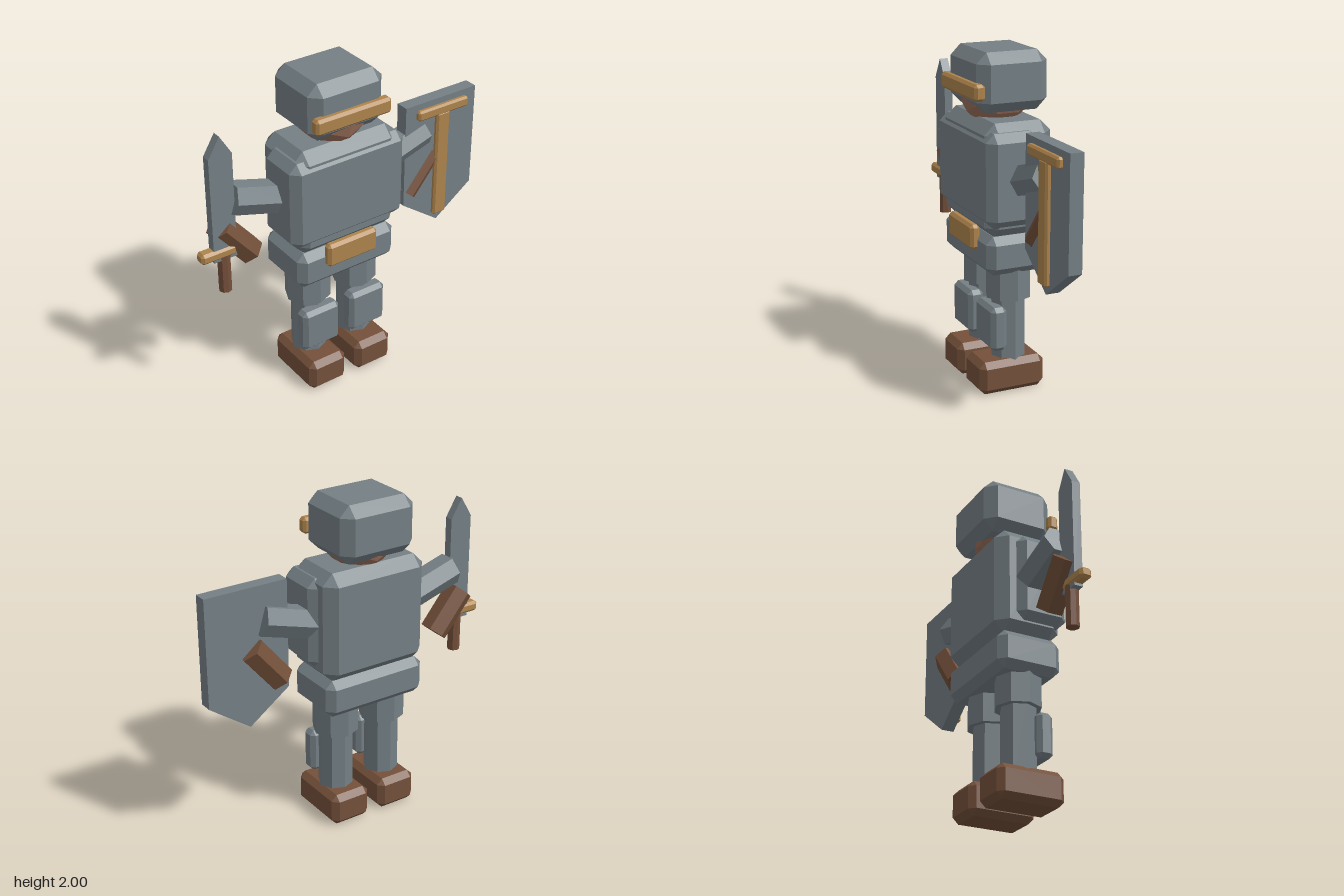
import * as THREE from 'three';
import { ConvexGeometry } from 'three/addons/geometries/ConvexGeometry.js';

const material = (name, color) => {
  const m = new THREE.MeshStandardMaterial({ color });
  m.name = name;
  return m;
};

export function createModel() {
  const steel = material('steel', 0x747f84);
  const leather = material('leather', 0x74503a);
  const gold = material('gold', 0xad834c);
  const skin = material('skin', 0x9a6f5a);
  const model = new THREE.Group();
  model.name = 'armouredFigure';

  // Adds a mesh with faceted normals
  function add(name, geometry, mat) {
    const flat = geometry.index ? geometry.toNonIndexed() : geometry;
    flat.computeVertexNormals();
    const mesh = new THREE.Mesh(flat, mat);
    mesh.name = name;
    model.add(mesh);
    return mesh;
  }

  // Box with every edge chamfered, given by its limits on each axis
  function chamferBox(name, [x0, x1], [y0, y1], [z0, z1], bevel, mat) {
    const h = [(x1 - x0) / 2, (y1 - y0) / 2, (z1 - z0) / 2];
    const points = [];
    for (const sx of [-1, 1]) for (const sy of [-1, 1]) for (const sz of [-1, 1]) {
      const s = [sx, sy, sz];
      for (let axis = 0; axis < 3; axis++) {
        points.push(new THREE.Vector3(...h.map((v, i) => s[i] * (i === axis ? v : v - bevel))));
      }
    }
    const mesh = add(name, new ConvexGeometry(points), mat);
    mesh.position.set((x0 + x1) / 2, (y0 + y1) / 2, (z0 + z1) / 2);
  }

  // Faceted rod between two points
  function rod(name, from, to, radius, sides, mat) {
    const a = new THREE.Vector3(...from), b = new THREE.Vector3(...to);
    const dir = b.clone().sub(a);
    const mesh = add(name, new THREE.CylinderGeometry(radius, radius, dir.length(), sides), mat);
    mesh.position.copy(a).add(b).multiplyScalar(0.5);
    mesh.rotation.z = Math.atan2(-dir.x, dir.y);
  }

  // Flat plate cut from an outline
  function plate(name, outline, z0, z1, mat) {
    const shape = new THREE.Shape(outline.map(([x, y]) => new THREE.Vector2(x, y)));
    const geometry = new THREE.ExtrudeGeometry(shape, { depth: z1 - z0, bevelEnabled: false });
    add(name, geometry, mat).position.z = z0;
  }

  // Head and helmet
  add('head', new THREE.IcosahedronGeometry(0.208, 1), skin).position.set(-0.067, 1.75, 0);
  chamferBox('helmet', [-0.31, 0.178], [1.66, 2], [-0.235, 0.198], 0.062, steel);
  chamferBox('helmetBand', [-0.315, 0.185], [1.74, 1.835], [0.17, 0.235], 0.016, gold);

  // Torso
  chamferBox('torso', [-0.405, 0.275], [0.96, 1.62], [-0.213, 0.195], 0.065, steel);
  chamferBox('chestPlate', [-0.45, 0.318], [1.03, 1.575], [-0.11, 0.21], 0.05, steel);
  chamferBox('hips', [-0.402, 0.267], [0.74, 0.97], [-0.203, 0.19], 0.045, steel);
  chamferBox('beltBuckle', [-0.237, 0.104], [0.865, 1.013], [0.17, 0.23], 0.018, gold);

  // Legs
  for (const [side, x] of [['right', -0.232], ['left', 0.1]]) {
    rod(side + 'Thigh', [x, 0.565, -0.005], [x, 0.85, -0.005], 0.137, 8, steel);
    rod(side + 'LowerLeg', [x, 0.15, -0.004], [x, 0.6, -0.004], 0.105, 8, steel);
    chamferBox(side + 'ShinGuard', [x - 0.127, x + 0.127], [0.265, 0.532], [0.053, 0.153], 0.025, steel);
    chamferBox(side + 'Boot', [x - 0.129, x + 0.129], [0, 0.2], [-0.19, 0.222], 0.035, leather);
  }

  // Arms, mirrored about the body's centre line
  for (const [side, s] of [['right', -1], ['left', 1]]) {
    const x = (d) => -0.065 + s * d;
    rod(side + 'UpperArm', [x(0.3), 1.285, -0.01], [x(0.661), 1.395, -0.01], 0.097, 6, steel);
    rod(side + 'Forearm', [x(0.735), 1.242, -0.014], [x(0.545), 1.01, -0.014], 0.085, 6, leather);
  }

  // Sword
  plate('swordBlade', [[-0.87, 1.05], [-0.725, 1.05], [-0.725, 1.7], [-0.797, 1.82], [-0.87, 1.7]],
    -0.01, 0.042, steel);
  chamferBox('swordGuard', [-0.95, -0.728], [1.065, 1.13], [-0.02, 0.055], 0.016, gold);
  rod('swordGrip', [-0.797, 0.835, 0.017], [-0.797, 1.08, 0.017], 0.038, 8, leather);

  // Shield
  plate('shield', [[0.432, 0.95], [0.69, 0.765], [0.946, 0.95], [0.946, 1.605], [0.432, 1.605]],
    -0.035, 0.046, steel);
  chamferBox('shieldCrossbar', [0.505, 0.874], [1.505, 1.57], [0.04, 0.08], 0.012, gold);
  chamferBox('shieldUpright', [0.643, 0.74], [0.82, 1.52], [0.04, 0.078], 0.012, gold);

  return model;
}
